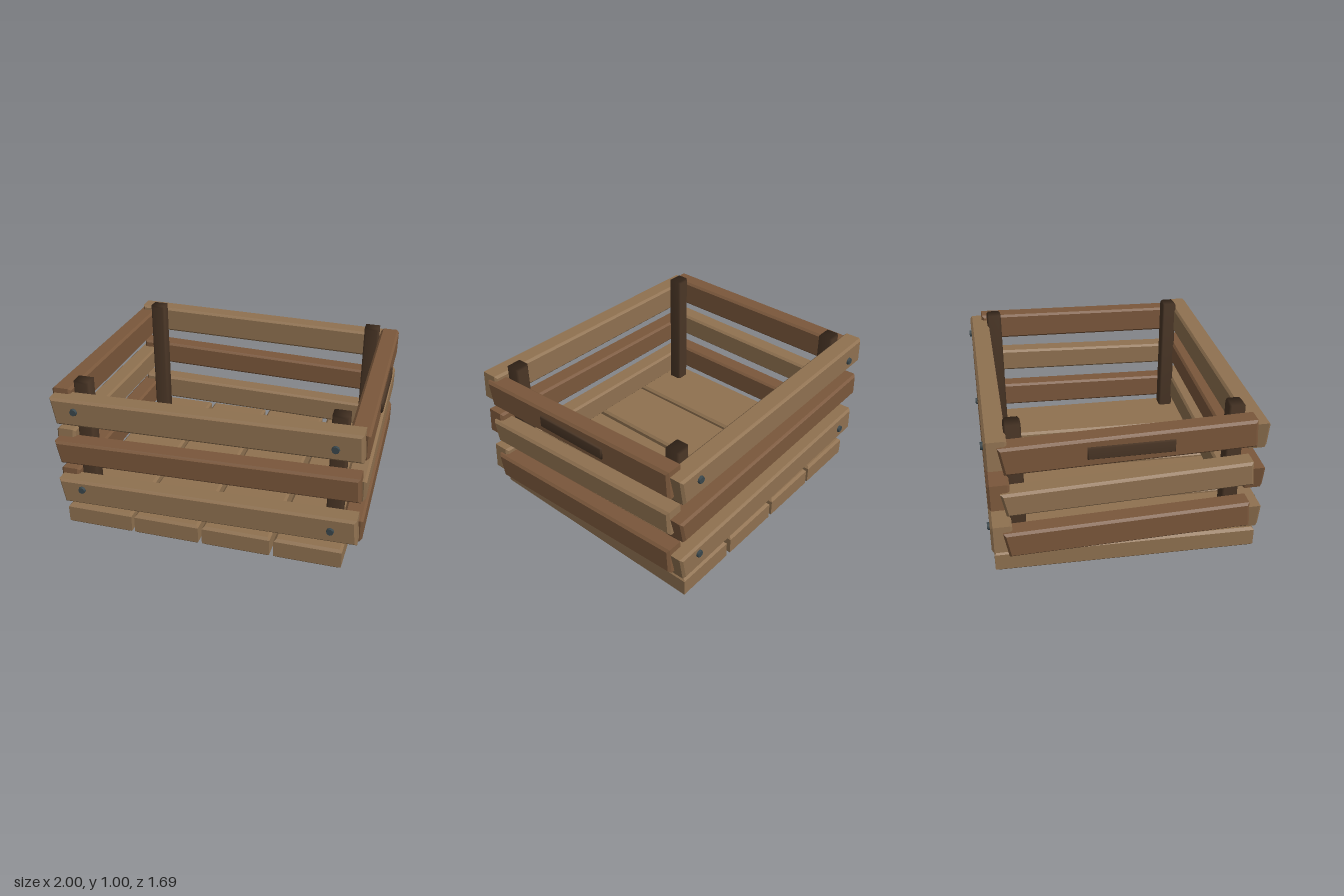
import * as THREE from 'three';
import { mergeVertices } from 'three/addons/utils/BufferGeometryUtils.js';

const mat = (color) => new THREE.MeshStandardMaterial({ color });
const tan = mat(0x8f7150), brown = mat(0x7a573b), dark = mat(0x4a3626), iron = mat(0x3a474c);

// Board with chamfered faces: outline corners in xy, extruded along z from z0 to z1
function board(points, z0, z1, bevel) {
  const shape = new THREE.Shape(points.map(([x, y]) => new THREE.Vector2(x, y)));
  const geometry = new THREE.ExtrudeGeometry(shape, {
    depth: z1 - z0 - 2 * bevel, bevelEnabled: true, bevelSegments: 1,
    bevelThickness: bevel, bevelSize: bevel, bevelOffset: -bevel,
  });
  return geometry.translate(0, 0, z0 + bevel);
}

// Chamfered block with normals blended across its edges
function softBlock(w, h, d, bevel) {
  const x = w / 2, y = h / 2;
  const g = board([[-x, -y], [x, -y], [x, y], [-x, y]], -d / 2, d / 2, bevel);
  g.deleteAttribute('uv');
  g.deleteAttribute('normal');
  const merged = mergeVertices(g, 1e-4);
  merged.computeVertexNormals();
  return merged;
}

function add(parent, name, geometry, material, x = 0, y = 0, z = 0) {
  const mesh = new THREE.Mesh(geometry, material);
  mesh.name = name;
  mesh.position.set(x, y, z);
  parent.add(mesh);
  return mesh;
}

// Each slat: left bottom, right bottom, right top, left top heights
const rows = [
  [0.17, 0.205, 0.38, 0.34],
  [0.465, 0.51, 0.672, 0.62],
  [0.748, 0.78, 0.96, 0.926],
];

// One wall of three crooked slats, facing +z before it is turned
function wall(name, half, z0, z1, colors) {
  const group = new THREE.Group();
  group.name = name;
  rows.forEach(([lb, rb, rt, lt], i) => {
    const outline = [[-half + 0.03, lb], [half, rb], [half - 0.012, rt], [-half, lt]];
    add(group, 'slat', board(outline, z0, z1, 0.015), colors[i]);
  });
  return group;
}

export function createModel() {
  const crate = new THREE.Group();
  crate.name = 'crate';

  // Floor planks: front left, front right, back right, back left x
  const floor = new THREE.Group();
  floor.name = 'floor';
  const planks = [
    [-0.925, -0.485, -0.45, -0.89],
    [-0.465, -0.035, 0.0, -0.425],
    [-0.01, 0.43, 0.462, 0.028],
    [0.455, 0.88, 0.92, 0.5],
  ];
  for (const [fl, fr, br, bl] of planks) {
    const outline = [[fl, -0.815], [fr, -0.815], [br, 0.815], [bl, 0.815]];
    const geometry = board(outline, 0, 0.14, 0.016).rotateX(-Math.PI / 2);
    add(floor, 'floorPlank', geometry, tan);
  }
  crate.add(floor);

  // Corner posts
  const post = softBlock(0.1, 0.88, 0.1, 0.012);
  for (const x of [-0.803, 0.803])
    for (const z of [-0.66, 0.66]) add(crate, 'cornerPost', post, dark, x, 0.56, z);

  // Opposite walls are half-turn copies of each other
  const bolt = new THREE.CylinderGeometry(0.022, 0.028, 0.03, 8).rotateX(Math.PI / 2);
  const handle = softBlock(0.51, 0.076, 0.06, 0.006);
  for (const turn of [0, Math.PI]) {
    const long = wall(turn ? 'backWall' : 'frontWall', 0.967, 0.70, 0.83, [tan, brown, tan]);
    for (const x of [-0.805, 0.803])
      for (const y of [0.287, 0.855]) add(long, 'bolt', bolt, iron, x, y, 0.83);
    long.rotation.y = turn;

    const short = wall(turn ? 'rightWall' : 'leftWall', 0.757, 0.86, 0.985, [brown, tan, brown]);
    add(short, 'handle', handle, dark, 0, 0.853, 0.97);
    short.rotation.y = turn + Math.PI / 2;
    crate.add(long, short);
  }
  return crate;
}
